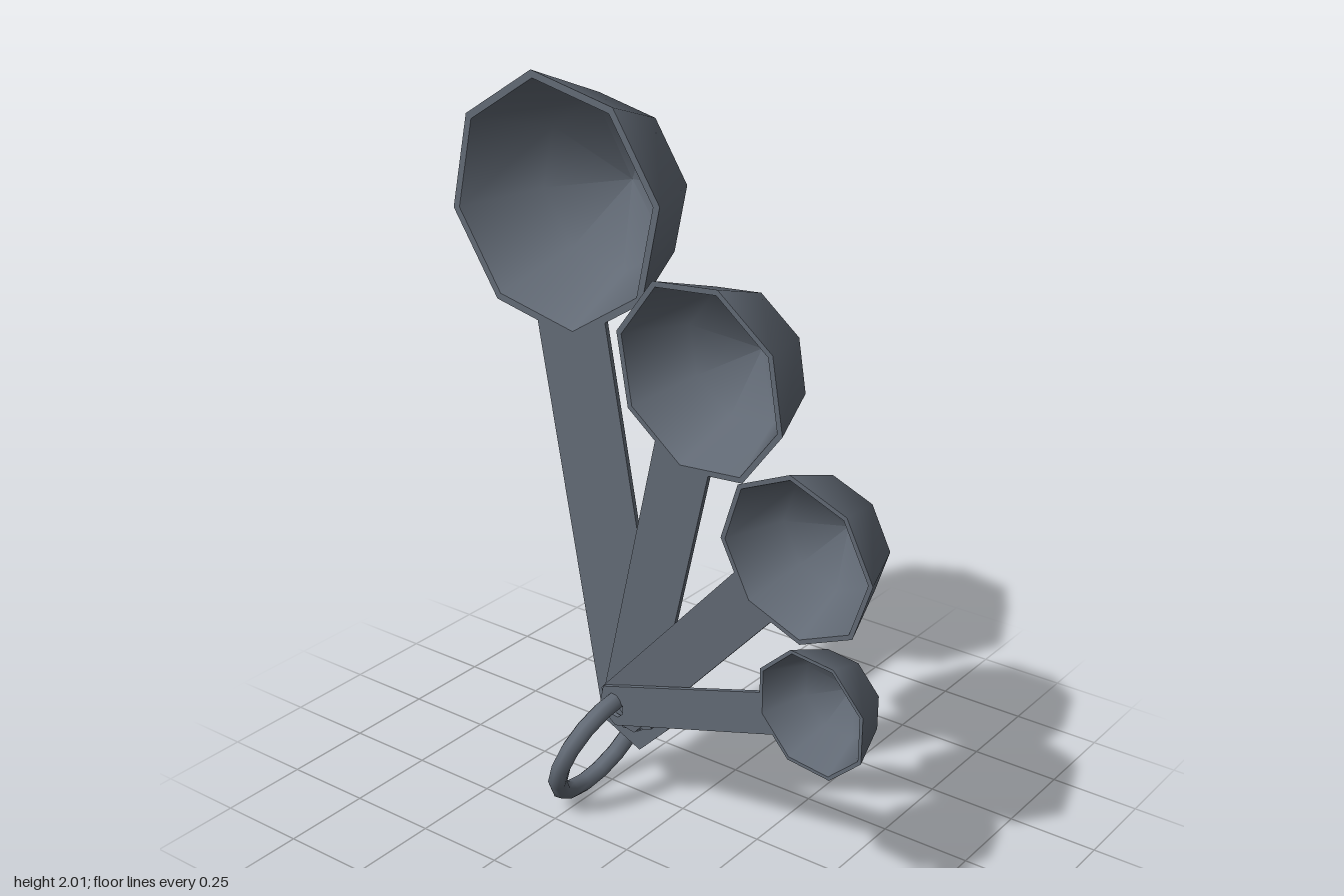
import * as THREE from 'three';
import { mergeGeometries } from 'three/addons/utils/BufferGeometryUtils.js';

const metal = new THREE.MeshStandardMaterial({ color: 0x626a75 });
metal.name = 'dark steel';

// Eight-sided hollow half sphere opening toward +z
function bowlGeometry(r) {
  const k = Math.SQRT1_2, i = r * 0.94;
  const profiles = [
    [[0, -r], [r * k, -r * k], [r, 0]],
    [[r, 0], [i, 0]],
    [[i, 0], [i * k, -i * k], [0, -i]],
  ];
  const parts = profiles.map((p) =>
    new THREE.LatheGeometry(p.map(([x, y]) => new THREE.Vector2(x, y)), 8));
  return mergeGeometries(parts).rotateX(Math.PI / 2);
}

// Flat strip with a pointed end and a hole, notched to meet the bowl
function handleGeometry(r, length) {
  const w = r * 0.33, t = 0.012;
  const shape = new THREE.Shape([
    [0, -length], [w, -length + w * 0.7], [w, -r * 0.86],
    [0, -r * 0.98], [-w, -r * 0.86], [-w, -length + w * 0.7],
  ].map(([x, y]) => new THREE.Vector2(x, y)));
  const hole = new THREE.Path();
  const holeY = -length + r * 0.35;
  for (let i = 0; i <= 8; i++) {
    const a = -i * Math.PI / 4;
    const x = Math.cos(a) * r * 0.19, y = holeY + Math.sin(a) * r * 0.19;
    if (i) hole.lineTo(x, y); else hole.moveTo(x, y);
  }
  shape.holes.push(hole);
  return new THREE.ExtrudeGeometry(shape, { depth: t, bevelEnabled: false }).translate(0, 0, -t);
}

function add(parent, name, geometry) {
  const mesh = new THREE.Mesh(geometry, metal);
  mesh.name = name;
  parent.add(mesh);
  return mesh;
}

export function createModel() {
  const model = new THREE.Group();
  model.name = 'measuringSpoons';

  // Bowl centre, radius, handle length, fan angle and rim slope in x and y
  const spoons = [
    { name: 'largestSpoon', at: [-0.365, 1.67, 0.06], r: 0.345, length: 1.51, angle: 100, slope: [0, 0] },
    { name: 'largeSpoon', at: [0.18, 1.362, 0.182], r: 0.265, length: 1.16, angle: 74, slope: [0.06, 0.07] },
    { name: 'smallSpoon', at: [0.47, 0.973, 0.182], r: 0.23, length: 0.97, angle: 47, slope: [0.065, 0.075] },
    { name: 'smallestSpoon', at: [0.528, 0.572, 0.186], r: 0.175, length: 0.79, angle: 20, slope: [0.1, 0.05] },
  ];
  for (const { name, at, r, length, angle, slope } of spoons) {
    const spoon = new THREE.Group();
    spoon.name = name;
    const a = THREE.MathUtils.degToRad(angle);
    const c = Math.cos(a), s = Math.sin(a);
    const along = new THREE.Vector3(c, s, slope[0] * c + slope[1] * s).normalize();
    const normal = new THREE.Vector3(-slope[0], -slope[1], 1).normalize();
    const side = new THREE.Vector3().crossVectors(along, normal);
    spoon.quaternion.setFromRotationMatrix(new THREE.Matrix4().makeBasis(side, along, normal));
    spoon.position.set(...at);
    add(spoon, 'bowl', bowlGeometry(r));
    add(spoon, 'handle', handleGeometry(r, length));
    model.add(spoon);
  }

  // Ring through the handle holes
  const ring = add(model, 'ring', new THREE.TorusGeometry(0.17, 0.026, 8, 16).rotateY(Math.PI / 2));
  ring.rotation.z = -0.39;
  ring.position.set(-0.215, 0.184, 0.09);
  return model;
}
